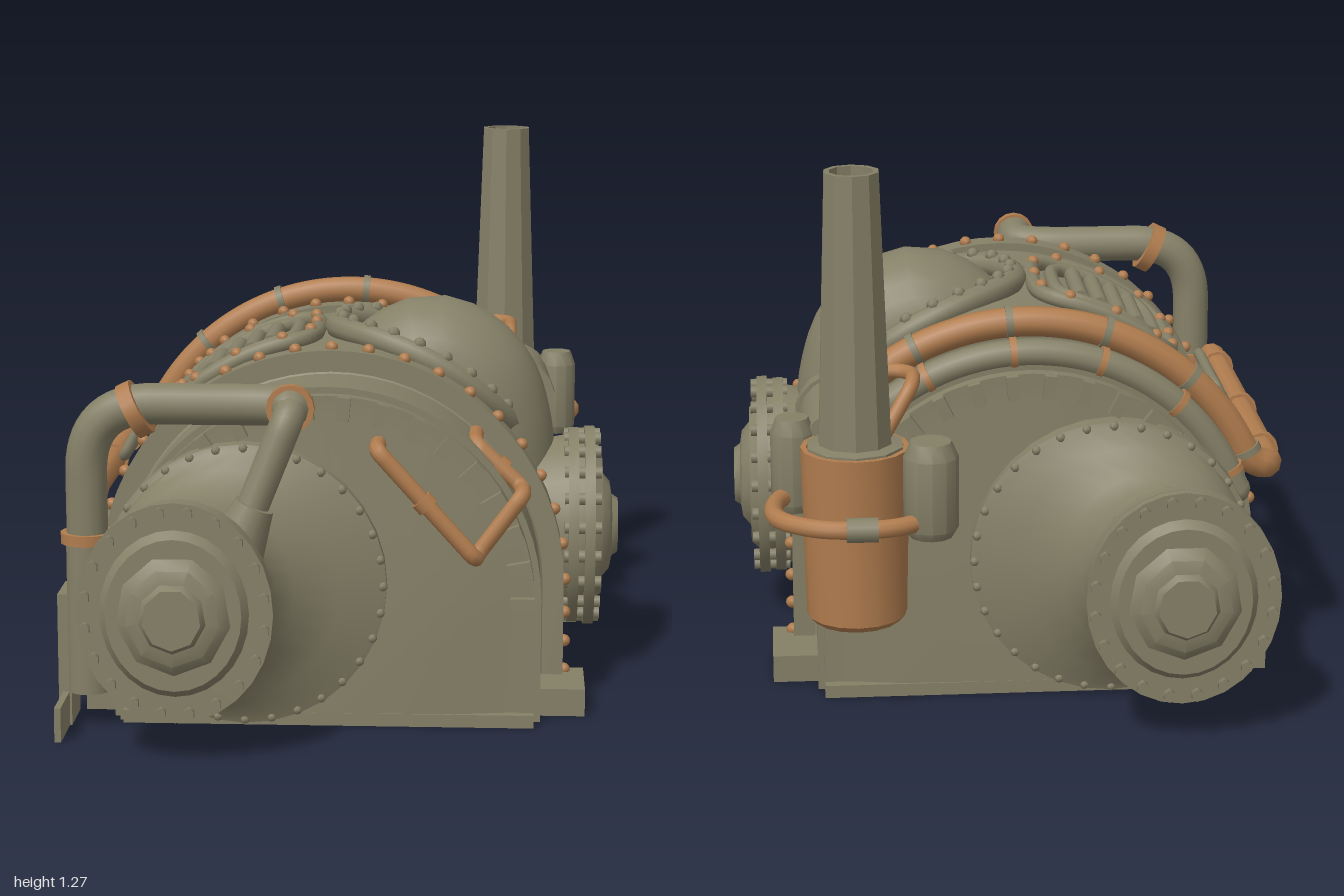
import * as THREE from 'three';
import { mergeGeometries, toCreasedNormals } from 'three/addons/utils/BufferGeometryUtils.js';

const V = (x, y, z) => new THREE.Vector3(x, y, z);
const TAU = Math.PI * 2, CX = -0.03, CY = 0.29;

export function createModel() {
  const root = new THREE.Group();
  const olive = new THREE.MeshStandardMaterial({ color: 0x858067, side: THREE.DoubleSide });
  const copper = new THREE.MeshStandardMaterial({ color: 0xb07c4e, side: THREE.DoubleSide });
  olive.name = 'olive metal';
  copper.name = 'copper';

  const add = (name, geo, mat = olive, parent = root) => {
    const m = new THREE.Mesh(geo, mat);
    m.name = name;
    parent.add(m);
    return m;
  };
  const crease = (g) => toCreasedNormals(g, 0.6);
  const box = (name, x0, x1, y0, y1, z0, z1) =>
    add(name, new THREE.BoxGeometry(x1 - x0, y1 - y0, z1 - z0)
      .translate((x0 + x1) / 2, (y0 + y1) / 2, (z0 + z1) / 2));
  const lathe = (list, n) => new THREE.LatheGeometry(list.map((p) => new THREE.Vector2(...p)), n);

  // Cylinder or cone running between two points
  const rod = (name, a, b, r0, r1, mat, n = 12) => {
    const d = b.clone().sub(a);
    const g = new THREE.CylinderGeometry(r1, r0, d.length(), n);
    g.applyQuaternion(new THREE.Quaternion().setFromUnitVectors(V(0, 1, 0), d.normalize()));
    return add(name, g.translate((a.x + b.x) / 2, (a.y + b.y) / 2, (a.z + b.z) / 2), mat);
  };

  // Bent pipe: straight runs with rounded corners
  const pipe = (name, pts, r, mat, bend = 0.04, n = 10) => {
    const path = new THREE.CurvePath();
    let from = pts[0];
    for (let i = 1; i < pts.length - 1; i++) {
      const p = pts[i];
      const near = (q) => {
        const d = q.clone().sub(p), l = d.length();
        return p.clone().addScaledVector(d, Math.min(bend, l * 0.48) / l);
      };
      const a = near(pts[i - 1]), b = near(pts[i + 1]);
      path.add(new THREE.LineCurve3(from, a));
      path.add(new THREE.QuadraticBezierCurve3(a, p, b));
      from = b;
    }
    path.add(new THREE.LineCurve3(from, pts[pts.length - 1]));
    add(name, new THREE.TubeGeometry(path, pts.length * 12, r, n), mat);
    [pts[0], pts[pts.length - 1]].forEach((p) =>
      add(name + 'End', new THREE.SphereGeometry(r, 10, 6).translate(p.x, p.y, p.z), mat));
  };

  // Skin between equal-length cross-sections
  const loft = (name, rings) => {
    const n = rings[0].length, pos = [], idx = [];
    rings.forEach((ring) => ring.forEach((p) => pos.push(p.x, p.y, p.z)));
    for (let i = 0; i < rings.length - 1; i++) for (let j = 0; j < n - 1; j++) {
      const a = i * n + j, b = a + n;
      idx.push(a, a + 1, b, a + 1, b + 1, b);
    }
    const g = new THREE.BufferGeometry();
    g.setAttribute('position', new THREE.Float32BufferAttribute(pos, 3));
    g.setIndex(idx);
    return add(name, crease(g));
  };
  const scatter = (name, geo, points, mat) =>
    add(name, mergeGeometries(points.map((p) => geo.clone().translate(p.x, p.y, p.z))), mat);

  // Half-barrel hull: arch on straight legs
  const onArch = (t, r, z) => V(CX + r * Math.cos(t), CY + r * Math.sin(t), z);
  const arch = (r, z) => {
    const cy = CY * Math.min(1, r / 0.42), out = [V(CX + r, 0, z)];
    for (let i = 0; i <= 32; i++) {
      const t = Math.PI * i / 32;
      out.push(V(CX + r * Math.cos(t), cy + r * Math.sin(t), z));
    }
    out.push(V(CX - r, 0, z));
    return out;
  };
  const band = (name, list) => loft(name, list.map(([z, r]) => arch(r, z)));
  band('hull', [[-0.635, 0.001], [-0.63, 0.3], [-0.61, 0.42], [-0.61, 0.48], [-0.58, 0.48],
    [-0.58, 0.495], [-0.4, 0.495], [-0.37, 0.53], [0.37, 0.53], [0.4, 0.495], [0.58, 0.495],
    [0.58, 0.48], [0.61, 0.48], [0.61, 0.42], [0.63, 0.3], [0.635, 0.001]]);
  const rivet = new THREE.SphereGeometry(0.015, 8, 6);
  for (const s of [-1, 1]) {
    band('hullRib', [[s * 0.37 - 0.033, 0.5], [s * 0.37 - 0.033, 0.55], [s * 0.37 + 0.033, 0.55], [s * 0.37 + 0.033, 0.5]]);
    const spots = [];
    for (let i = 0; i <= 20; i++) spots.push(onArch(Math.PI * i / 20, 0.553, s * 0.37));
    for (const y of [0.07, 0.14, 0.21]) spots.push(V(CX + 0.553, y, s * 0.37), V(CX - 0.553, y, s * 0.37));
    scatter('ribRivets', rivet, spots, copper);
    // Clamps around each end ring
    const clamps = [];
    for (let i = 0; i <= 17; i++) {
      const t = Math.PI * i / 17, p = onArch(t, 0.452, s * 0.61);
      clamps.push(new THREE.BoxGeometry(0.055, 0.028, 0.04).rotateZ(t).translate(p.x, p.y, p.z));
    }
    add('endClamps', mergeGeometries(clamps));
    // Feet and cross beams
    box('crossBeam', -0.6, 0.57, 0, 0.065, s * 0.435 - 0.095, s * 0.435 + 0.095);
    box('endSill', -0.5, 0.45, 0, 0.03, s * 0.605 - 0.03, s * 0.605 + 0.03);
  }

  // Tall oval bolted flange with stepped cap, facing local +z
  const flange = (x, y, z, turn) => {
    const g = new THREE.Group();
    g.name = 'flange';
    const prof = [[0.17, 0], [0.214, 0], [0.214, 0.025], [0.19, 0.025], [0.19, 0.04], [0.218, 0.04], [0.218, 0.065],
      [0.165, 0.065], [0.15, 0.085], [0.11, 0.085]];
    add('flangeDiscs', crease(lathe(prof, 28).rotateX(Math.PI / 2)), olive, g);
    const cap = [[0.13, 0.083], [0.105, 0.105], [0.075, 0.11], [0.065, 0.125], [0, 0.125]];
    add('flangeCap', crease(lathe(cap, 9).rotateX(Math.PI / 2)), olive, g).scale.y = 0.93;
    const bolts = [];
    for (let i = 0; i < 20; i++) {
      const a = TAU * (i + 0.5) / 20;
      bolts.push(new THREE.CylinderGeometry(0.013, 0.013, 0.09, 6).rotateX(Math.PI / 2)
        .translate(0.2 * Math.cos(a), 0.2 * Math.sin(a), 0.035));
    }
    add('flangeBolts', mergeGeometries(bolts), olive, g);
    g.position.set(x, y, z);
    g.rotation.y = turn;
    g.scale.y = 1.14;
    root.add(g);
  };

  // Skewed nozzles on both ends
  const oval = (x, y, z, rx, ry) => Array.from({ length: 33 }, (_, i) =>
    V(x + rx * Math.cos(TAU * i / 32), y + ry * Math.sin(TAU * i / 32), z));
  for (const s of [-1, 1]) {
    loft('endNozzle', [[-0.34, 0.195, 0.22, 0.89], [-0.335, 0.2, 0.22, 0.78], [-0.315, 0.22, 0.235, 0.73],
      [-0.265, 0.27, 0.275, 0.685], [-0.215, 0.315, 0.315, 0.66], [-0.215, 0.327, 0.327, 0.655], [-0.215, 0.327, 0.327, 0.6]]
      .map(([x, rx, ry, z]) => oval(x, 0.337, s * z, rx, ry)));
    scatter('nozzleRivets', new THREE.SphereGeometry(0.011, 6, 5), oval(-0.215, 0.337, s * 0.657, 0.318, 0.318).slice(1), olive);
    flange(-0.343, 0.34, s * 0.875, s > 0 ? 0 : Math.PI);
  }

  // Side elbow, its seat on the hull and its flange
  const elbow = new THREE.CatmullRomCurve3([V(0.06, 0.6, 0), V(0.13, 0.71, 0), V(0.2, 0.745, 0), V(0.28, 0.7, 0),
    V(0.32, 0.6, 0), V(0.34, 0.34, 0)]);
  add('sideElbow', new THREE.TubeGeometry(elbow, 28, 0.172, 24));
  const neck = rod('sideNeck', V(0.36, 0, 0), V(0.54, 0, 0), 0.172, 0.2, olive, 28);
  neck.position.y = 0.34;
  neck.scale.y = 1.14;
  flange(0.535, 0.34, 0, Math.PI / 2);
  const wrap = (t0, u, z, r = 0.54) => onArch(t0 + u / 0.53, r, z);
  const seat = Array.from({ length: 24 }, (_, i) => {
    const c = Math.cos(TAU * i / 24);
    return wrap(1.08, 0.27 * c, 0.21 * Math.sin(TAU * i / 24), 0.542 + 0.01 * c);
  });
  add('elbowSeat', new THREE.TubeGeometry(new THREE.CatmullRomCurve3(seat, true), 48, 0.03, 8, true));
  scatter('seatBolts', new THREE.SphereGeometry(0.016, 6, 5), seat.map((p) => p.clone().add(V(0.01, 0.026, 0))), olive);

  // Slatted hatch curved onto the hull
  const T = 2.02;
  for (const [hu, hz, r] of [[0.185, 0.19, 0.02], [0.135, 0.145, 0.018]]) {
    const pts = Array.from({ length: 32 }, (_, i) => {
      const a = TAU * i / 32, c = Math.cos(a), s = Math.sin(a);
      return wrap(T, hu * Math.sign(c) * Math.abs(c) ** 0.5, hz * Math.sign(s) * Math.abs(s) ** 0.5, 0.545);
    });
    add('hatchFrame', new THREE.TubeGeometry(new THREE.CatmullRomCurve3(pts, true), 64, r, 8, true));
    if (hu > 0.15) scatter('hatchStuds', rivet, pts.filter((p, i) => i % 4 === 2 || i % 8 === 0).map((p) => p.add(V(-0.005, 0.015, 0))), copper);
  }
  for (const u of [-0.075, -0.025, 0.025, 0.075]) rod('hatchSlat', wrap(T, u, -0.11, 0.545), wrap(T, u, 0.11, 0.545), 0.02, 0.02);

  // Chimney, open at the top, on a copper canister
  const SX = 0.375, SZ = -0.708;
  const stack = [[0.112, 0.6], [0.112, 0.645], [0.085, 0.65], [0.084, 0.68], [0.063, 1.27], [0.05, 1.27], [0.06, 0.7], [0, 0.7]];
  add('chimney', crease(lathe(stack, 10).translate(SX, 0, SZ)));
  const pot = [[0, 0.23], [0.1, 0.23], [0.114, 0.245], [0.123, 0.64], [0.11, 0.64], [0.105, 0.6], [0, 0.6]];
  add('copperCanister', crease(lathe(pot, 16).translate(SX, 0, SZ)), copper);
  for (const [x, z, r] of [[0.21, -0.81, 0.062], [0.515, -0.61, 0.05]]) {
    const p = [[0, 0.46], [r * 0.8, 0.46], [r, 0.48], [r, 0.645], [r * 0.75, 0.68], [0, 0.68]];
    add('sideCanister', crease(lathe(p, 12).translate(x, 0, z)));
  }
  pipe('canisterLoop', [V(0.21, 0.5, -0.82), V(0.3, 0.5, -0.88), V(0.45, 0.5, -0.88), V(0.56, 0.5, -0.8), V(0.56, 0.5, -0.68), V(0.515, 0.5, -0.61)], 0.021, copper, 0.06);
  rod('loopValve', V(0.33, 0.5, -0.88), V(0.4, 0.5, -0.88), 0.028, 0.028);
  rod('exhaustDrum', V(0.4, 0.6, -0.32), V(0.4, 0.6, -0.63), 0.098, 0.098, olive, 18);
  rod('drumCollar', V(0.4, 0.6, -0.315), V(0.4, 0.6, -0.36), 0.107, 0.107, olive, 18);
  pipe('feedPipe', [V(0.39, 0.68, -0.37), V(0.39, 0.77, -0.37), V(0.39, 0.77, -0.54), V(0.24, 0.77, -0.57), V(0.24, 0.77, -0.66), V(0.31, 0.66, -0.7)], 0.017, copper);

  // Arched pipes over the rear of the hull
  const over = (r, z, a, b) => Array.from({ length: 15 }, (_, i) => onArch(a + (b - a) * i / 14, r, z));
  pipe('copperMainPipe', [...over(0.57, -0.485, 0.9, 2.74), V(-0.607, 0.49, -0.47), V(-0.607, 0.49, 0.49), V(-0.595, 0.16, 0.49)], 0.035, copper, 0.05);
  pipe('rearArchPipe', over(0.515, -0.555, 0.35, 2.8), 0.034, olive);
  for (const t of [0.7, 1.1, 1.5, 1.9, 2.3, 2.7]) {
    const clip = (name, r, z, h, mat) => rod(name, onArch(t - 0.015, r, z), onArch(t + 0.015, r, z), h, h, mat);
    clip('rearArchBand', 0.515, -0.555, 0.038, copper);
    if (t > 1) clip('mainPipeBand', 0.57, -0.485, 0.039, olive);
  }
  for (const z of [-0.34, -0.02, 0.36]) rod('mainPipeBand', V(-0.607, 0.49, z - 0.012), V(-0.607, 0.49, z + 0.012), 0.042, 0.042, copper);
  for (const y of [0.2, 0.4]) rod('mainPipeBand', V(-0.595, y - 0.012, 0.49), V(-0.595, y + 0.012, 0.49), 0.043, 0.043, olive);

  // Right flank: lower pipe, frames, coil and port
  pipe('lowerPipe', [V(-0.55, 0.15, -0.39), V(-0.6, 0.15, -0.37), V(-0.6, 0.15, 0.44), V(-0.55, 0.15, 0.46)], 0.02, copper);
  for (const z of [-0.2, 0.03, 0.28]) rod('lowerPipeBand', V(-0.6, 0.15, z - 0.012), V(-0.6, 0.15, z + 0.012), 0.027, 0.027, copper);
  const frame = (x0, x1, y0, y1, z0, z1) => pipe('flankFrame', [V(x0, y0, (z0 + z1) / 2), V(x0, y0, z0), V(x1, y1, z0),
    V(x1, y1, z1), V(x0, y0, z1), V(x0, y0, (z0 + z1) / 2)], 0.014, olive, 0.03, 8);
  frame(-0.575, -0.575, 0.22, 0.42, -0.24, 0);
  frame(-0.57, -0.51, 0.51, 0.62, -0.23, 0.06);
  const coil = Array.from({ length: 49 }, (_, i) => V(-0.57 + 0.025 * Math.cos(TAU * i / 12), 0.22 + 0.2 * i / 48, 0.16 + 0.06 * Math.sin(TAU * i / 12)));
  add('flankCoil', new THREE.TubeGeometry(new THREE.CatmullRomCurve3(coil), 100, 0.015, 8), olive);
  rod('smallPort', V(-0.52, 0.19, -0.45), V(-0.6, 0.19, -0.45), 0.065, 0.065, olive, 16);
  rod('smallPortCap', V(-0.6, 0.19, -0.45), V(-0.62, 0.19, -0.45), 0.045, 0.035, olive, 10);

  // Front intake pipe with copper collars
  rod('intakeTank', V(-0.575, 0.08, 0.64), V(-0.575, 0.44, 0.64), 0.05, 0.05, olive, 16);
  pipe('intakePipe', [V(-0.575, 0.4, 0.64), V(-0.575, 0.755, 0.65), V(-0.1, 0.755, 0.65), V(-0.1, 0.765, 0.74)], 0.048, olive, 0.16, 14);
  pipe('intakeDrop', [V(-0.1, 0.765, 0.73), V(-0.1, 0.755, 0.79), V(-0.19, 0.53, 0.82)], 0.037, olive, 0.05, 12);
  rod('intakeCollar', V(-0.575, 0.43, 0.64), V(-0.575, 0.455, 0.64), 0.062, 0.062, copper, 16);
  rod('intakeCollar', V(-0.475, 0.735, 0.65), V(-0.445, 0.75, 0.65), 0.066, 0.066, copper, 16);
  rod('intakeCollar', V(-0.1, 0.765, 0.735), V(-0.1, 0.765, 0.76), 0.054, 0.054, copper, 16);
  rod('intakeSocket', V(-0.235, 0.42, 0.82), V(-0.175, 0.56, 0.82), 0.075, 0.045, olive, 16);
  box('cornerPlate', -0.645, -0.615, 0, 0.31, 0.53, 0.66);
  box('cornerStrip', -0.635, -0.62, 0, 0.08, 0.66, 0.8);
  box('cornerBracket', -0.61, -0.5, 0.08, 0.3, 0.53, 0.66);

  // Zigzag copper line on the front face
  pipe('zigzagPipe', [V(0.31, 0.65, 0.42), V(0.31, 0.65, 0.54), V(0.42, 0.55, 0.56), V(0.42, 0.55, 0.64), V(0.315, 0.41, 0.65),
    V(0.315, 0.41, 0.69), V(0.09, 0.66, 0.69), V(0.09, 0.66, 0.6)], 0.019, copper, 0.025);
  rod('zigzagBand', V(0.19, 0.549, 0.69), V(0.207, 0.53, 0.69), 0.026, 0.026, copper);
  rod('zigzagBand', V(0.36, 0.605, 0.549), V(0.377, 0.589, 0.552), 0.026, 0.026, copper);
  return root;
}
